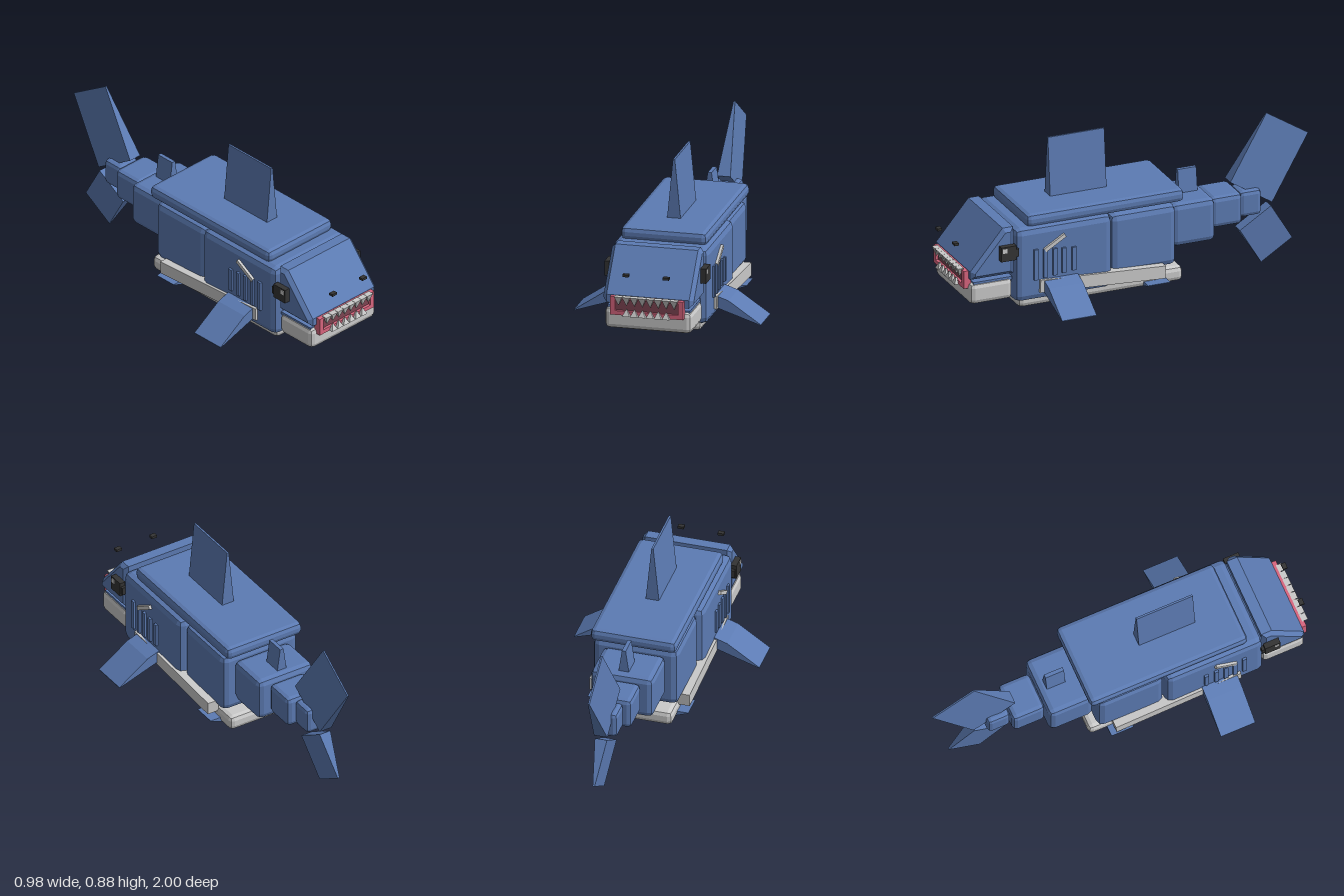
import * as THREE from 'three';
import { RoundedBoxGeometry } from 'three/addons/geometries/RoundedBoxGeometry.js';

const material = (name, color) => {
  const m = new THREE.MeshStandardMaterial({ color });
  m.name = name;
  return m;
};

export function createModel() {
  const blue = material('skin blue', 0x5c7bb3);
  const grey = material('belly grey', 0xcacaca);
  const dark = material('eye black', 0x343434);
  const pink = material('gum pink', 0xd9667f);
  const maroon = material('mouth maroon', 0x7d4452);

  const model = new THREE.Group();
  model.name = 'shark';

  const add = (name, geometry, mat, x = 0, y = 0, z = 0) => {
    const mesh = new THREE.Mesh(geometry, mat);
    mesh.name = name;
    mesh.position.set(x, y, z);
    model.add(mesh);
    return mesh;
  };

  // Plain box from its limits
  const box = (name, mat, [x0, x1], [y0, y1], [z0, z1]) =>
    add(name, new THREE.BoxGeometry(Math.abs(x1 - x0), y1 - y0, z1 - z0), mat,
      (x0 + x1) / 2, (y0 + y1) / 2, (z0 + z1) / 2);

  // Chamfered box centred on x = 0
  const block = (name, mat, halfWidth, [y0, y1], [z0, z1], bevel) => {
    const g = new RoundedBoxGeometry(halfWidth * 2, y1 - y0, z1 - z0, 1, bevel);
    const flat = g.index ? g.toNonIndexed() : g;
    flat.computeVertexNormals();
    return add(name, flat, mat, 0, (y0 + y1) / 2, (z0 + z1) / 2);
  };

  // Fin standing on its base and thinning towards its tip
  const fin = (name, base, tip, length, chord, y, z, angle = 0) => {
    const g = new THREE.BoxGeometry(2, length, chord).translate(0, length / 2, 0);
    const p = g.attributes.position;
    for (let i = 0; i < p.count; i++) p.setX(i, p.getX(i) * (p.getY(i) > length / 2 ? tip : base));
    g.computeVertexNormals();
    add(name, g, blue, 0, y, z).rotation.x = angle;
  };

  const shapeOf = (points) => new THREE.Shape(points.map(([x, y]) => new THREE.Vector2(x, y)));
  const rect = (w, y0, y1) => [[-w, y0], [w, y0], [w, y1], [-w, y1]];

  // Body segments, front to back
  block('frontBody', blue, 0.25, [0.115, 0.515], [0.185, 0.72], 0.035);
  block('middleBody', blue, 0.225, [0.166, 0.497], [-0.18, 0.185], 0.035);
  block('tailFront', blue, 0.165, [0.235, 0.467], [-0.42, -0.18], 0.03);
  block('tailMiddle', blue, 0.105, [0.275, 0.442], [-0.595, -0.42], 0.025);
  block('tailRear', blue, 0.066, [0.29, 0.43], [-0.716, -0.595], 0.022);
  block('backPlate', blue, 0.225, [0.505, 0.575], [-0.222, 0.646], 0.025);
  block('belly', grey, 0.206, [0.067, 0.147], [-0.222, 0.684], 0.025);
  block('lowerJaw', grey, 0.226, [0.137, 0.25], [0.724, 0.957], 0.025);

  // Wedge shaped head, profile drawn in z and y
  const bevel = 0.02;
  const head = new THREE.ExtrudeGeometry(
    shapeOf([[0.74, 0.295], [0.935, 0.295], [0.935, 0.31], [0.768, 0.508], [0.74, 0.508]]),
    { depth: 0.43, bevelEnabled: true, bevelSize: bevel, bevelThickness: bevel, bevelSegments: 1 });
  head.translate(0, 0, -0.215).rotateY(-Math.PI / 2);
  add('head', head, blue);
  box('palate', blue, [-0.215, 0.215], [0.24, 0.256], [0.724, 0.936]);

  // Mouth: gum frame around a dark opening
  const frame = shapeOf(rect(0.191, 0.22, 0.315));
  frame.holes.push(new THREE.Path(rect(0.165, 0.242, 0.303).map(([x, y]) => new THREE.Vector2(x, y))));
  add('gums', new THREE.ExtrudeGeometry(frame, { depth: 0.04, bevelEnabled: false }), pink, 0, 0, 0.94);
  box('mouthInside', maroon, [-0.167, 0.167], [0.24, 0.305], [0.942, 0.965]);

  // Two rows of pyramid teeth
  const toothRow = (name, count, length, y, down) => {
    for (let i = 0; i < count; i++) {
      const g = new THREE.ConeGeometry(0.0283, length, 4, 1).toNonIndexed();
      g.rotateY(Math.PI / 4).scale(1, 1, 0.8);
      if (down) g.rotateX(Math.PI);
      g.computeVertexNormals();
      add(name, g, grey, (i - (count - 1) / 2) * 0.0414, y, 0.984);
    }
  };
  toothRow('upperTooth', 8, 0.05, 0.296, true);
  toothRow('lowerTooth', 6, 0.038, 0.239, false);

  // Fins on the centre line
  fin('dorsalFin', 0.036, 0.005, 0.32, 0.31, 0.565, 0.281);
  fin('smallDorsalFin', 0.028, 0.01, 0.13, 0.102, 0.46, -0.327);
  fin('upperTailFin', 0.035, 0.004, 0.395, 0.272, 0.409, -0.67, -0.567);
  fin('lowerTailFin', 0.032, 0.005, 0.241, 0.202, 0.262, -0.695, Math.PI + 0.56);

  // Paired parts
  for (const [side, s] of [['left', 1], ['right', -1]]) {
    const sideFin = (name, points, z0, z1) => add(side + name,
      new THREE.ExtrudeGeometry(shapeOf(points.map(([x, y]) => [x * s, y])),
        { depth: z1 - z0, bevelEnabled: false }), blue, 0, 0, z0);
    sideFin('PectoralFin', [[0.24, 0.158], [0.27, 0.158], [0.488, 0.086], [0.488, 0.09], [0.32, 0.203], [0.24, 0.23]], 0.378, 0.568);
    sideFin('PelvicFin', [[0.125, 0.045], [0.265, 0.096], [0.265, 0.099], [0.14, 0.098], [0.105, 0.08]], -0.126, -0.003);

    // Eye with a small glint
    box(side + 'Eye', dark, [0.235 * s, 0.265 * s], [0.364, 0.442], [0.721, 0.805]);
    box(side + 'EyeBack', dark, [0.235 * s, 0.26 * s], [0.378, 0.42], [0.706, 0.721]);
    box(side + 'EyeGlint', grey, [0.263 * s, 0.268 * s], [0.41, 0.434], [0.773, 0.797]);
    box(side + 'Nostril', dark, [0.089 * s, 0.121 * s], [0.43, 0.443], [0.976, 1.0]);

    // Gill slats
    [0.61, 0.558, 0.507, 0.456, 0.401].forEach((z, i) => {
      const half = 0.083 - i * 0.005;
      box(side + 'Gill', blue, [0.24 * s, 0.262 * s], [0.315 - half, 0.315 + half], [z - 0.011, z + 0.011]);
    });

    // Scar and pale flank stripe
    const scar = box(side + 'Scar', grey, [0.24 * s, 0.264 * s], [0.41, 0.43], [0.442, 0.572]);
    scar.rotation.x = 0.54;
    const stripe = box(side + 'FlankStripe', grey, [0.2 * s, 0.264 * s], [0.142, 0.21], [-0.1, 0.59]);
    stripe.rotation.x = -0.055;
  }

  return model;
}
